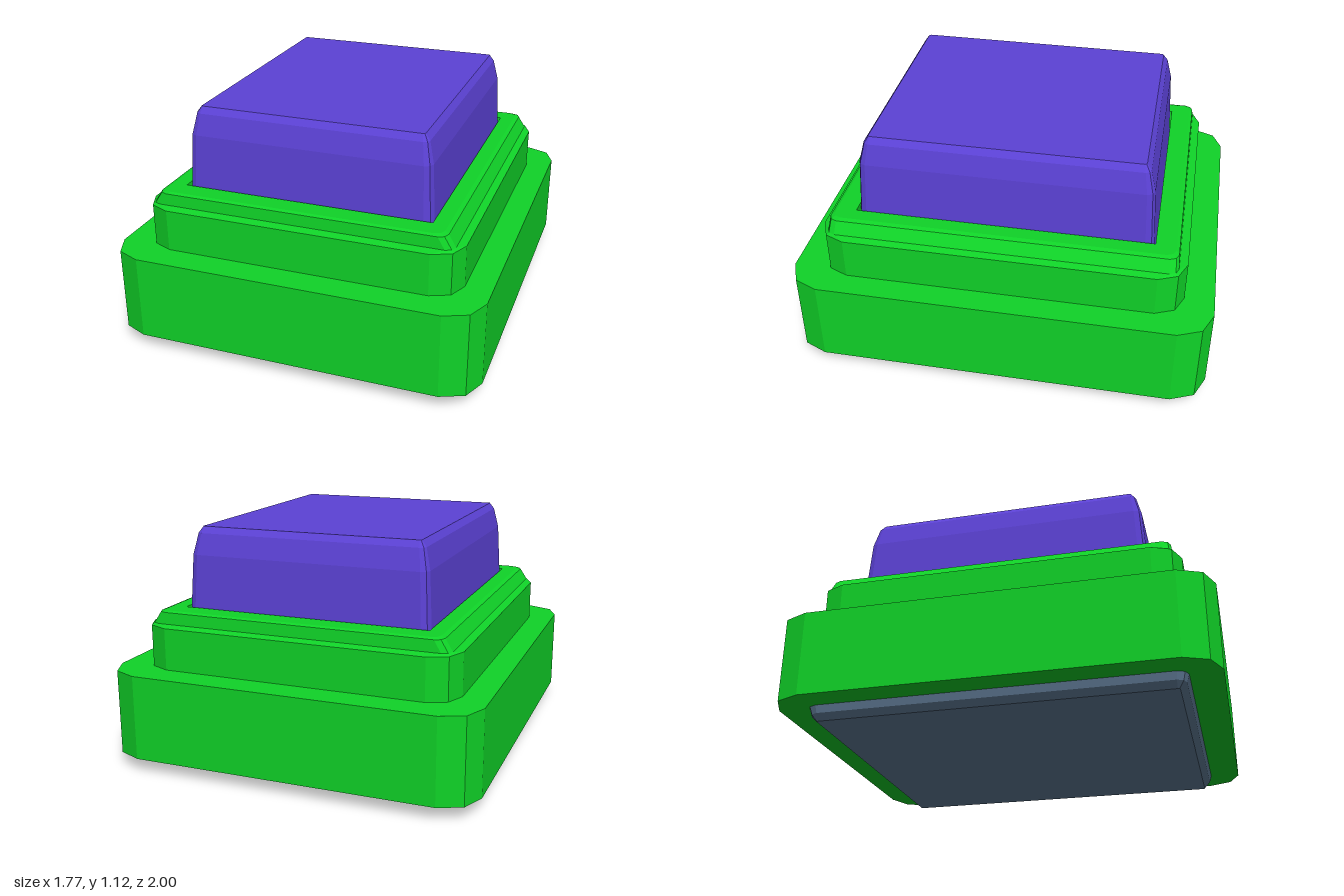
import * as THREE from 'three';

// Rectangle outline with each corner rounded in two steps
function outline([y, hx, hz, c]) {
  const k = c * 0.3;
  const corner = [[hx, hz - c], [hx - k, hz - k], [hx - c, hz]];
  const mirrored = (sx, sz, flip) => {
    const p = corner.map(([x, z]) => new THREE.Vector3(x * sx, y, z * sz));
    return flip ? p.reverse() : p;
  };
  return [
    ...mirrored(1, 1, false), ...mirrored(-1, 1, true),
    ...mirrored(-1, -1, false), ...mirrored(1, -1, true),
  ];
}

// Closed solid through sections [y, halfWidth, halfDepth, corner], bottom to top
function loft(name, color, sections) {
  const rings = sections.map(outline);
  const n = rings[0].length;
  const pts = [];
  const centre = (s) => new THREE.Vector3(0, s[0], 0);
  const low = centre(sections[0]);
  const high = centre(sections[sections.length - 1]);
  for (let i = 0; i < n; i++) {
    const j = (i + 1) % n;
    for (let r = 0; r < rings.length - 1; r++) {
      const a = rings[r], b = rings[r + 1];
      pts.push(a[i], b[i], a[j], a[j], b[i], b[j]);
    }
    const top = rings[rings.length - 1];
    pts.push(low, rings[0][i], rings[0][j], high, top[j], top[i]);
  }
  const geometry = new THREE.BufferGeometry().setFromPoints(pts);
  geometry.computeVertexNormals();
  const mesh = new THREE.Mesh(geometry, new THREE.MeshStandardMaterial({ color, flatShading: true }));
  mesh.name = name;
  return mesh;
}

export function createModel() {
  const group = new THREE.Group();
  group.name = 'pushButton';
  const green = 0x10d428, purple = 0x5c42d6, slate = 0x64809c;

  // Bevelled plate underneath
  group.add(loft('bottomPlate', slate, [
    [0, 0.72, 0.815, 0.01],
    [0.03, 0.745, 0.845, 0.04],
    [0.08, 0.76, 0.86, 0.05],
  ]));

  // Wide housing
  group.add(loft('housing', green, [
    [0.065, 0.885, 1, 0.16],
    [0.47, 0.885, 1, 0.16],
  ]));

  // Stepped collar with a socket for the key
  group.add(loft('collar', green, [
    [0.46, 0.76, 0.86, 0.13],
    [0.67, 0.76, 0.86, 0.13],
    [0.68, 0.725, 0.82, 0.04],
    [0.735, 0.69, 0.815, 0.04],
    [0.742, 0.67, 0.8, 0.04],
    [0.742, 0.6, 0.705, 0.002],
    [0.64, 0.6, 0.705, 0.002],
  ]));

  // Tapered key with softened top edges
  group.add(loft('key', purple, [
    [0.64, 0.6, 0.703, 0.04],
    [0.99, 0.58, 0.682, 0.035],
    [1.09, 0.557, 0.657, 0.025],
    [1.12, 0.535, 0.635, 0.01],
  ]));

  return group;
}
